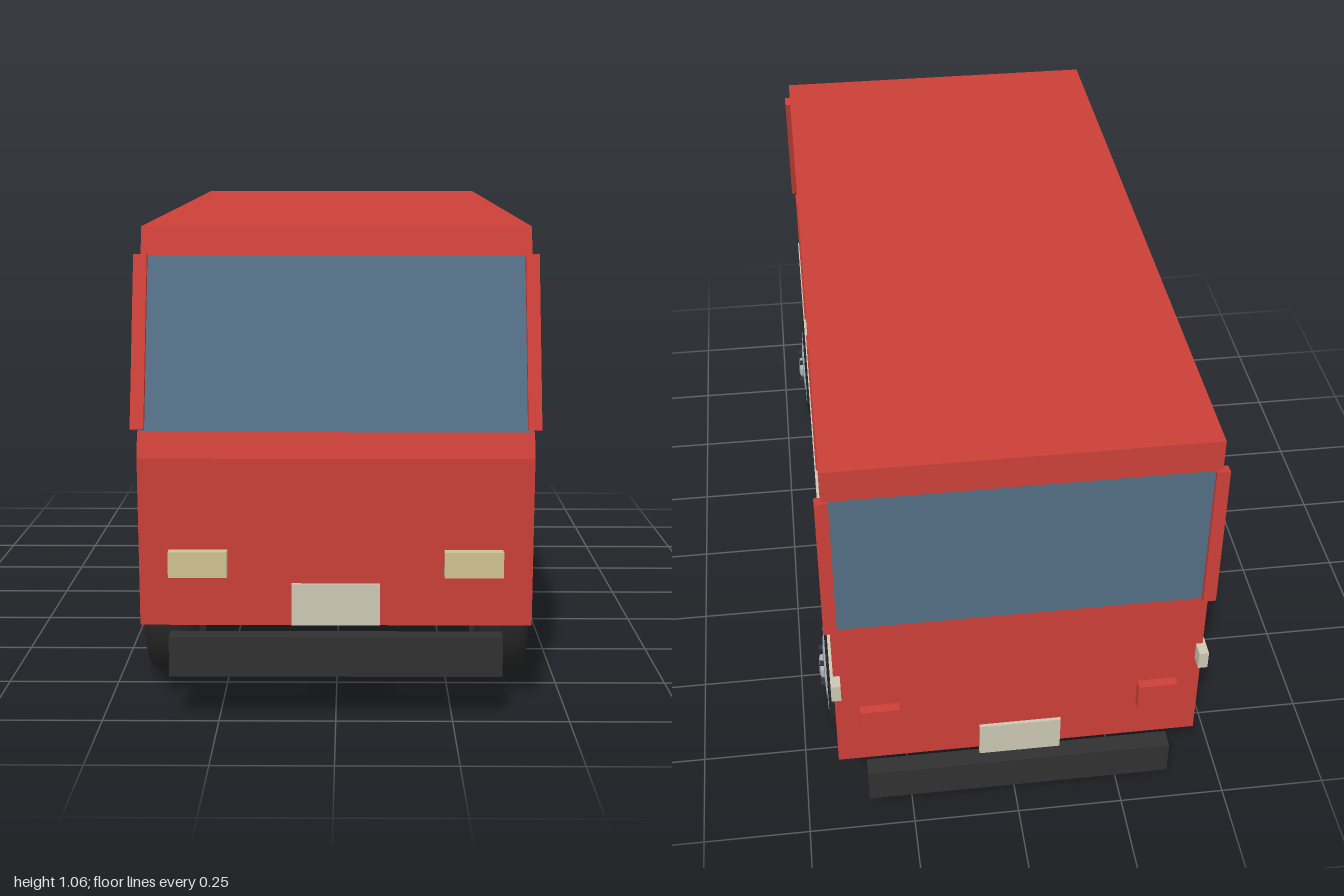
import * as THREE from 'three';
import { toCreasedNormals } from 'three/addons/utils/BufferGeometryUtils.js';

export function createModel() {
  const van = new THREE.Group();
  van.name = 'van';

  const mat = (name, color) => {
    const m = new THREE.MeshStandardMaterial({ color });
    m.name = name;
    return m;
  };
  const red = mat('red paint', 0xcb3f38);
  const glass = mat('blue glass', 0x526e84);
  const cream = mat('cream trim', 0xcbc7b4);
  const lamp = mat('lamp yellow', 0xcdc18f);
  const bumperGrey = mat('bumper grey', 0x303030);
  const rubber = mat('tyre rubber', 0x272727);
  const steel = mat('wheel steel', 0xa9aebb);
  const dark = mat('dark bolts', 0x34363c);

  const add = (parent, name, geometry, material, x = 0, y = 0, z = 0) => {
    const mesh = new THREE.Mesh(geometry, material);
    mesh.name = name;
    mesh.position.set(x, y, z);
    parent.add(mesh);
    return mesh;
  };
  // Box given by its limits on each axis
  const box = (name, material, [x0, x1], [y0, y1], [z0, z1]) =>
    add(van, name, new THREE.BoxGeometry(x1 - x0, y1 - y0, z1 - z0), material,
      (x0 + x1) / 2, (y0 + y1) / 2, (z0 + z1) / 2);
  // Side profile of [z, y] points, extruded across the van
  const slab = (name, material, points, x0, x1) => {
    const shape = new THREE.Shape(points.map(([z, y]) => new THREE.Vector2(-z, y)));
    const g = new THREE.ExtrudeGeometry(shape, { depth: x1 - x0, bevelEnabled: false });
    g.rotateY(Math.PI / 2);
    return add(van, name, g, material, x0);
  };

  // Body in three stacked bands: panels, windows, roof
  const W = 0.42;
  slab('lowerBody', red,
    [[0.955, 0.2], [0.966, 0.566], [0.949, 0.62], [-0.956, 0.62], [-0.96, 0.2]], -W, W);
  slab('windowBand', glass,
    [[0.949, 0.62], [0.834, 0.985], [-0.953, 0.985], [-0.956, 0.62]], -W + 0.002, W - 0.002);
  slab('roof', red,
    [[0.834, 0.985], [0.815, 1.045], [-0.952, 1.062], [-0.953, 0.985]], -W, W);

  // Wheel profiles: [radius, offset outward]
  const lathe = (pts, segments) => {
    const g = new THREE.LatheGeometry(pts.map(([r, h]) => new THREE.Vector2(r, h)), segments);
    return toCreasedNormals(g, 0.6);
  };
  const tyreGeo = lathe([[0, -0.045], [0.09, -0.045], [0.105, -0.06], [0.14, -0.058], [0.154, -0.05],
    [0.162, -0.034], [0.163, 0], [0.162, 0.034], [0.154, 0.05], [0.14, 0.058], [0.11, 0.06],
    [0.107, 0.045], [0, 0.045]], 40);
  const rimGeo = lathe([[0.109, 0.046], [0.109, 0.061], [0.102, 0.062], [0.096, 0.055],
    [0.078, 0.055], [0.072, 0.064], [0.035, 0.066], [0.03, 0.064], [0.028, 0.074],
    [0.017, 0.077], [0.015, 0.073], [0, 0.073]], 40);
  const boltGeo = new THREE.CylinderGeometry(0.007, 0.007, 0.016, 6);

  const makeWheel = (name, side, z) => {
    const wheel = new THREE.Group();
    wheel.name = name;
    add(wheel, 'tyre', tyreGeo, rubber);
    add(wheel, 'rim', rimGeo, steel);
    for (let i = 0; i < 5; i++) {
      const a = (i * 2 * Math.PI) / 5;
      add(wheel, 'bolt', boltGeo, dark, Math.cos(a) * 0.046, 0.068, Math.sin(a) * 0.046);
    }
    wheel.rotation.z = -side * Math.PI / 2;
    wheel.position.set(side * 0.374, 0.164, z);
    van.add(wheel);
  };

  for (const s of [-1, 1]) {
    const label = s > 0 ? 'left' : 'right';
    const span = (a, b) => (s > 0 ? [a, b] : [-b, -a]);

    // Window pillars
    box(label + 'FrontSidePillar', red, span(0.41, 0.424), [0.62, 0.987], [0.24, 0.292]);
    box(label + 'RearSidePillar', red, span(0.41, 0.424), [0.62, 0.987], [-0.412, -0.36]);
    slab(label + 'WindscreenPillar', red,
      [[0.933, 0.62], [0.961, 0.627], [0.848, 0.988], [0.82, 0.98]], ...span(0.405, 0.434));
    slab(label + 'BackPillar', red,
      [[-0.944, 0.62], [-0.938, 0.985], [-0.962, 0.987], [-0.97, 0.622]], ...span(0.405, 0.434));

    // Side stripe
    box(label + 'Stripe', cream, span(0.405, 0.427), [0.432, 0.477], [-0.99, 0.873]);

    // Lamps
    box(label + 'Headlight', lamp, span(0.231, 0.356), [0.312, 0.368], [0.94, 0.985]);
    box(label + 'TailLight', red, span(0.275, 0.365), [0.305, 0.373], [-0.98, -0.95]);

    makeWheel(label + 'FrontWheel', s, 0.645);
    makeWheel(label + 'RearWheel', s, -0.625);
  }

  // Bumpers and number plates at both ends
  for (const [label, s] of [['front', 1], ['rear', -1]]) {
    const span = (a, b) => (s > 0 ? [a, b] : [-b, -a]);
    box(label + 'Bumper', bumperGrey, [-0.355, 0.355], [0.1, 0.187], span(0.956, 1));
    box(label + 'Plate', cream, [-0.094, 0.094], [0.21, 0.3], span(0.981, 0.989));
  }
  return van;
}
